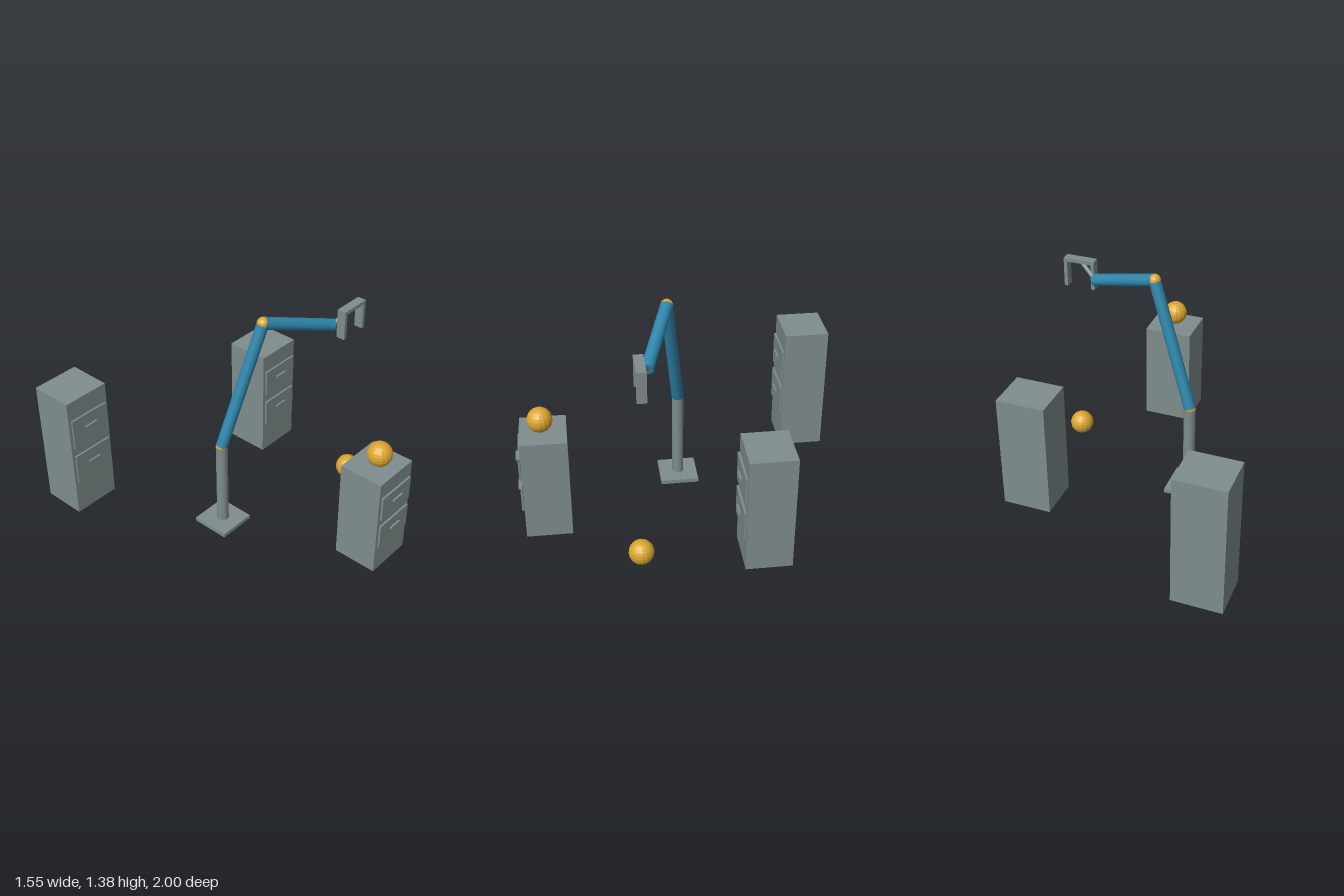
import * as THREE from 'three';

const grey = new THREE.MeshStandardMaterial({ color: 0x7f8c8d });
grey.name = 'steel grey';
const blue = new THREE.MeshStandardMaterial({ color: 0x2e86ab });
blue.name = 'arm blue';
const gold = new THREE.MeshStandardMaterial({ color: 0xdba62f, flatShading: true });
gold.name = 'ball gold';

function add(parent, name, geometry, material, x, y, z) {
  const mesh = new THREE.Mesh(geometry, material);
  mesh.name = name;
  mesh.position.set(x, y, z);
  parent.add(mesh);
  return mesh;
}

const box = (w, h, d) => new THREE.BoxGeometry(w, h, d);

// Cylinder running from point a to point b
function rod(parent, name, a, b, radius, material) {
  const dir = b.clone().sub(a);
  const mid = a.clone().add(b).multiplyScalar(0.5);
  const mesh = add(parent, name, new THREE.CylinderGeometry(radius, radius, dir.length(), 24), material, mid.x, mid.y, mid.z);
  mesh.quaternion.setFromUnitVectors(new THREE.Vector3(0, 1, 0), dir.normalize());
}

function ball(parent, name, radius, x, y, z) {
  add(parent, name, new THREE.SphereGeometry(radius, 16, 12), gold, x, y, z);
}

// Two-drawer cabinet; drawer spacing scales with its height
function cabinet(x, z, height) {
  const g = new THREE.Group();
  g.name = 'cabinet';
  g.position.set(x, 0, z);
  const depth = 0.275;
  const front = depth / 2;
  add(g, 'cabinetBody', box(0.304, height, depth), grey, 0, height / 2, 0);
  for (const level of [0.405, 0.725]) {
    add(g, 'drawer', box(0.27, height * 0.247, 0.012), grey, 0, height * level, front + 0.009);
    add(g, 'drawerHandle', box(0.086, 0.013, 0.012), grey, 0, height * (level + 0.024), front + 0.024);
  }
  return g;
}

function robotArm() {
  const g = new THREE.Group();
  g.name = 'robotArm';
  const foot = new THREE.Vector3(-0.23, 0.02, 0);
  const shoulder = new THREE.Vector3(-0.23, 0.577, 0);
  const elbow = new THREE.Vector3(0.029, 1.342, 0.091);
  const wrist = new THREE.Vector3(0.474, 1.192, 0.247);
  const grip = new THREE.Vector3(0.589, 1.283, 0.295);

  // Base and post
  add(g, 'basePlate', box(0.237, 0.025, 0.237), grey, foot.x, 0.0125, 0);
  rod(g, 'post', foot, shoulder, 0.036, grey);

  // Jointed arm
  rod(g, 'upperArm', shoulder, elbow, 0.036, blue);
  rod(g, 'forearm', elbow, wrist, 0.037, blue);
  ball(g, 'shoulderJoint', 0.0365, shoulder.x, shoulder.y, shoulder.z);
  ball(g, 'elbowJoint', 0.0375, elbow.x, elbow.y, elbow.z);

  // Gripper
  rod(g, 'wristRod', wrist, grip, 0.013, grey);
  add(g, 'gripperBar', box(0.198, 0.023, 0.056), grey, grip.x, grip.y + 0.001, grip.z);
  for (const side of [-1, 1]) {
    add(g, 'gripperFinger', box(0.022, 0.164, 0.056), grey, grip.x + side * 0.088, 1.192, grip.z);
  }
  return g;
}

export function createModel() {
  const model = new THREE.Group();
  model.name = 'robotArmWithCabinets';
  model.add(robotArm());
  model.add(cabinet(-0.624, -0.863, 0.823));
  model.add(cabinet(0.618, -0.41, 0.736));
  model.add(cabinet(0.166, 0.834, 0.65));
  ball(model, 'cabinetBall', 0.075, 0.167, 0.725, 0.847);
  ball(model, 'floorBall', 0.075, 0.632, 0.076, 0.313);
  return model;
}
